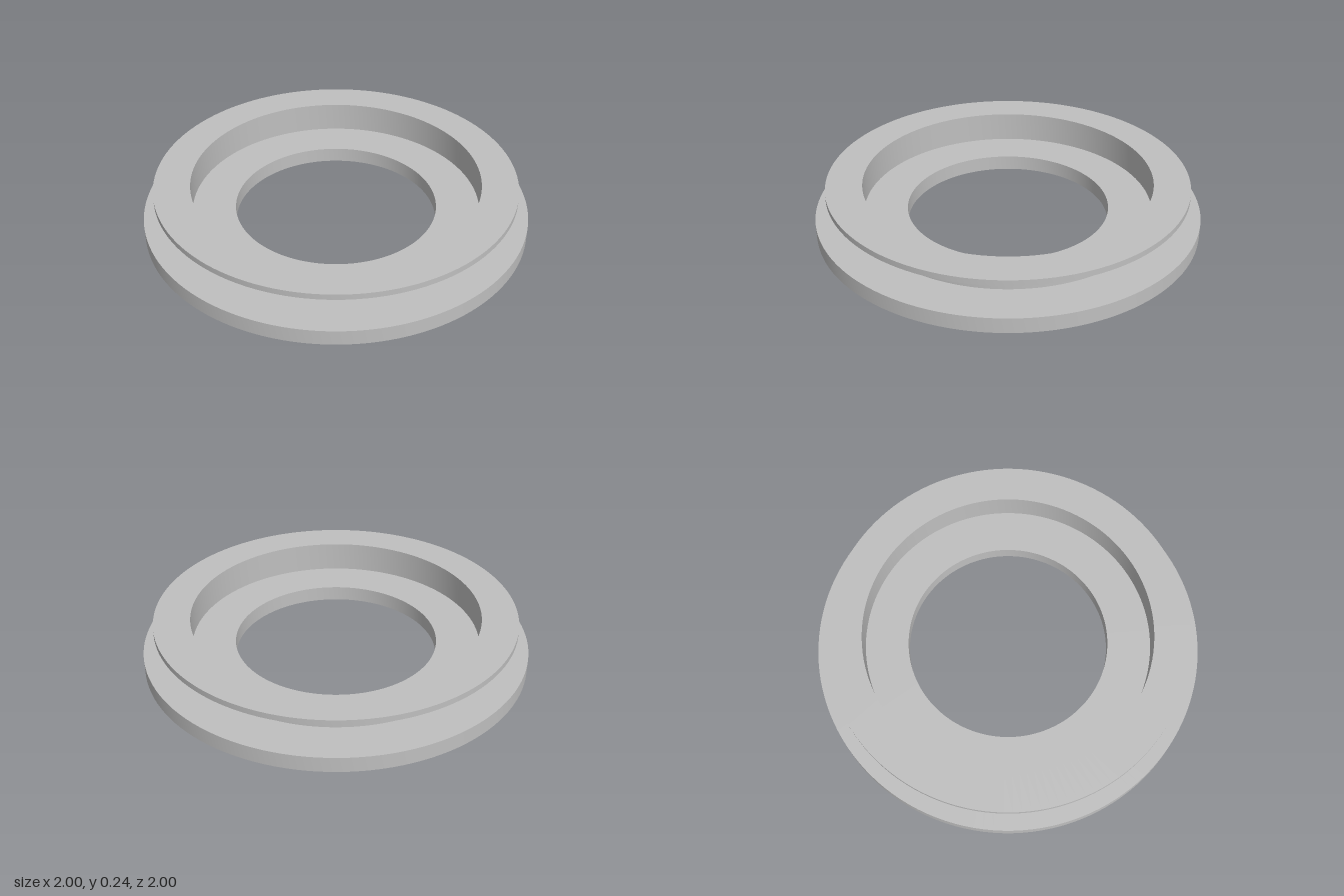
import * as THREE from 'three';
import { toCreasedNormals } from 'three/addons/utils/BufferGeometryUtils.js';

const SEGMENTS = 128;
const BORE = 0.525, HOLE_R = 0.019, HOLE_DEPTH = 0.06;

const metal = new THREE.MeshStandardMaterial({ color: 0xbfbfbf });
metal.name = 'grey metal';

function part(name, geometry) {
  const mesh = new THREE.Mesh(geometry, metal);
  mesh.name = name;
  return mesh;
}

// Revolved profile of [radius, height] pairs with sharp corners
function revolve(profile, segments) {
  const points = profile.map(([r, y]) => new THREE.Vector2(r, y));
  return toCreasedNormals(new THREE.LatheGeometry(points, segments), 0.6);
}

function circlePoints(x, y, radius, segments) {
  return Array.from({ length: segments }, (_, i) => {
    const a = (i / segments) * Math.PI * 2;
    return new THREE.Vector2(x + radius * Math.cos(a), y + radius * Math.sin(a));
  });
}

export function createModel() {
  const group = new THREE.Group();
  group.name = 'flangedRing';

  // Base disc, upright wall and top flange in one turned profile
  group.add(part('ringBody', revolve([
    [1, 0], [1, 0.08], [0.78, 0.08], [0.78, 0.21], [0.938, 0.21], [0.938, 0.24],
    [0.75, 0.24], [0.75, 0.08], [BORE, 0.08], [BORE, 0],
  ], SEGMENTS)));

  // Five pairs of blind screw holes in the underside
  const holes = [];
  for (let i = 0; i < 5; i++) {
    for (const [radius, degrees] of [[0.9, 45], [0.793, 36.4]]) {
      const a = THREE.MathUtils.degToRad(degrees + i * 72);
      holes.push([radius * Math.sin(a), radius * Math.cos(a)]);
    }
  }

  // Underside face, pierced by the bore and the screw holes
  const face = new THREE.Shape(circlePoints(0, 0, 1, SEGMENTS));
  face.holes.push(new THREE.Path(circlePoints(0, 0, BORE, SEGMENTS)));
  for (const [x, z] of holes) face.holes.push(new THREE.Path(circlePoints(x, z, HOLE_R, 24)));
  group.add(part('underside', new THREE.ShapeGeometry(face).rotateX(Math.PI / 2)));

  // Walls and ends of the screw holes
  const holeGeometry = revolve([[0, HOLE_DEPTH], [HOLE_R, HOLE_DEPTH], [HOLE_R, 0]], 24);
  for (const [x, z] of holes) {
    const hole = part('screwHole', holeGeometry);
    hole.position.set(x, 0, z);
    group.add(hole);
  }
  return group;
}
